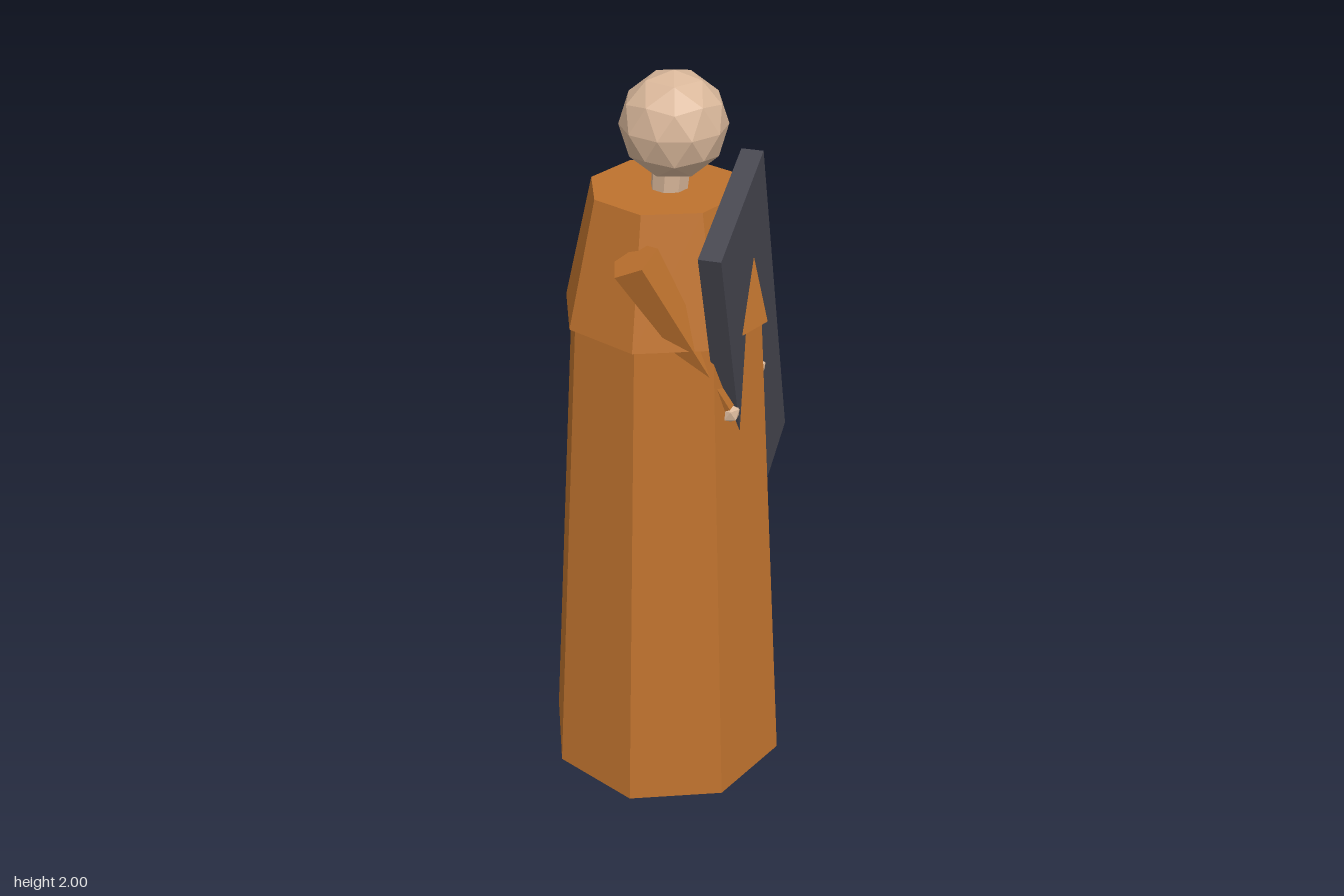
import * as THREE from 'three';

const material = (name, color) => {
  const m = new THREE.MeshStandardMaterial({ color, flatShading: true });
  m.name = name;
  return m;
};

export function createModel() {
  const model = new THREE.Group();
  const cloth = material('orange cloth', 0xbe722e);
  const skin = material('skin', 0xd9b79a);
  const slate = material('dark slate', 0x474750);
  const axisZ = 0.038; // the robe's axis sits a little forward

  const add = (name, geometry, mat, x, y, z) => {
    const mesh = new THREE.Mesh(geometry, mat);
    mesh.name = name;
    mesh.position.set(x, y, z);
    model.add(mesh);
    return mesh;
  };

  // Faceted sphere standing on one of its vertices
  const ball = (radius, detail) =>
    new THREE.IcosahedronGeometry(radius, detail).rotateZ(-Math.atan(2 / (1 + Math.sqrt(5))));

  // Tapered limb between two points, with one corner towards the back
  const limb = (name, from, to, rFrom, rTo, sides, mat) => {
    const axis = to.clone().sub(from);
    const mid = from.clone().add(to).multiplyScalar(0.5);
    const geometry = new THREE.CylinderGeometry(rTo, rFrom, axis.length(), sides, 1, false, Math.PI);
    const mesh = add(name, geometry, mat, mid.x, mid.y, mid.z);
    mesh.quaternion.setFromUnitVectors(new THREE.Vector3(0, 1, 0), axis.normalize());
  };

  // Eight-sided robe and shoulder cape
  add('robe', new THREE.CylinderGeometry(0.254, 0.338, 1.38, 8), cloth, 0, 0.69, axisZ);
  add('cape', new THREE.CylinderGeometry(0.193, 0.27, 0.333, 8), cloth, 0, 1.5365, axisZ);

  // Neck and head, leaning slightly to the left
  limb('neck', new THREE.Vector3(0.008, 1.67, axisZ), new THREE.Vector3(0.018, 1.79, axisZ),
    0.046, 0.05, 8, skin);
  add('head', ball(0.134, 1), skin, 0.022, 1.866, axisZ);

  // Sleeves and hands, front and back, reaching for the board
  for (const [side, s] of [['front', 1], ['back', -1]]) {
    const shoulder = new THREE.Vector3(0, 1.61, axisZ + s * 0.248);
    const wrist = new THREE.Vector3(0.206, 1.185, axisZ + s * 0.135);
    limb(side + 'Sleeve', wrist, shoulder, 0.02, 0.065, 5, cloth);
    add(side + 'Hand', ball(0.028, 0), skin, 0.211, 1.168, axisZ + s * 0.13);
  }

  // Tilted board carried at the left side
  const board = add('board', new THREE.BoxGeometry(0.056, 1.017, 0.395), slate, 0.202, 1.25, -0.018);
  board.rotation.x = 0.35;

  return model;
}
